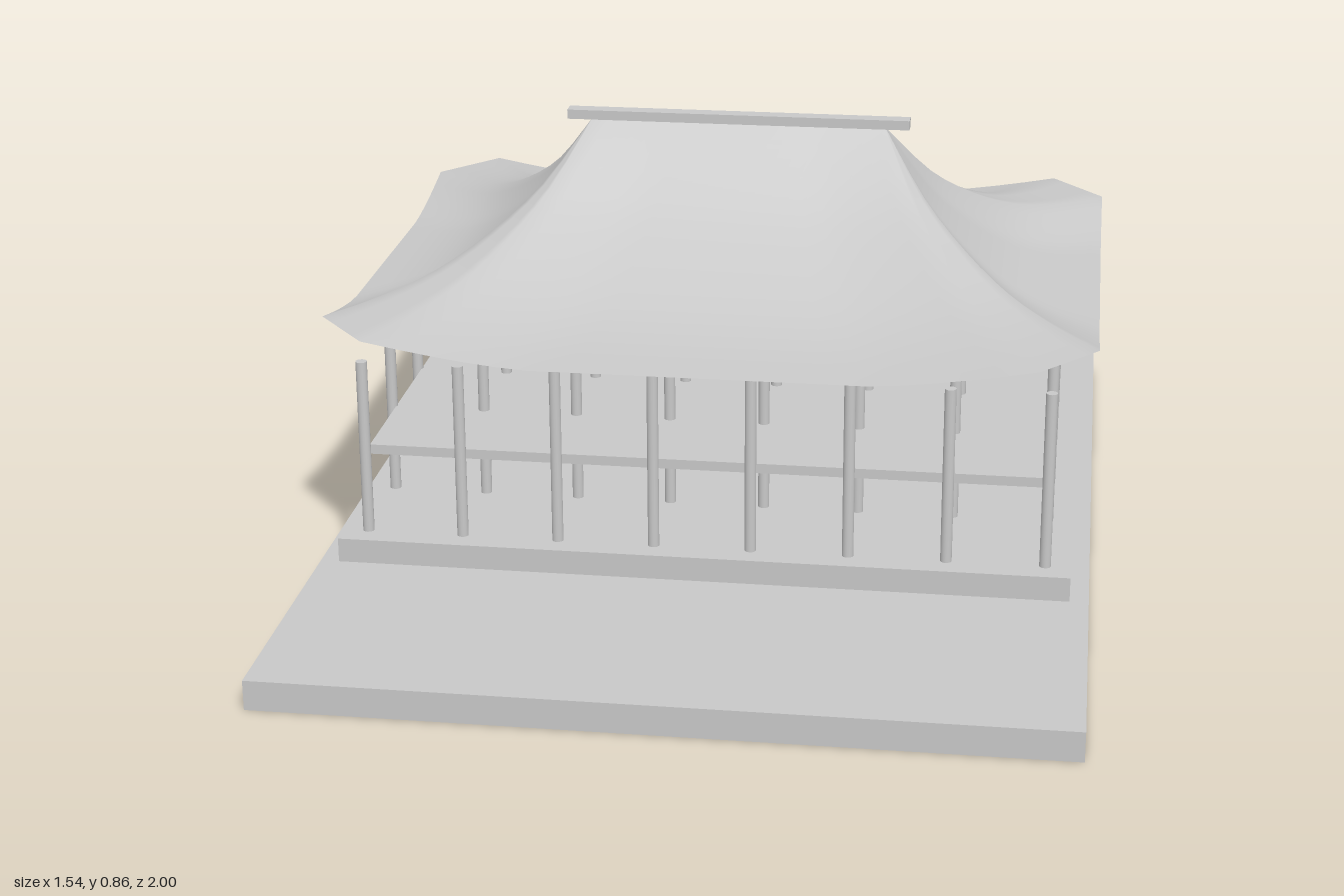
import * as THREE from 'three';

const CZ = -0.16; // the hall stands behind the middle of its terrace

export function createModel() {
  const group = new THREE.Group();
  const grey = new THREE.MeshStandardMaterial({ color: 0xc8c8c8, side: THREE.DoubleSide });
  grey.name = 'plain grey';

  const add = (name, geometry, x, y, z) => {
    const mesh = new THREE.Mesh(geometry, grey);
    mesh.name = name;
    mesh.position.set(x, y, z);
    group.add(mesh);
  };
  const slab = (name, w, d, y0, y1, z = CZ) =>
    add(name, new THREE.BoxGeometry(w, y1 - y0, d), 0, (y0 + y1) / 2, z);

  // terrace, plinth, middle floor and ridge beam
  slab('terrace', 1.545, 2, 0, 0.06, 0);
  slab('plinth', 1.47, 1.235, 0.06, 0.11);
  slab('middleFloor', 1.35, 1.12, 0.275, 0.295);
  slab('ridgeBeam', 0.725, 0.034, 0.838, 0.858);

  // grid of round columns
  const column = new THREE.CylinderGeometry(0.0115, 0.0115, 0.365, 16);
  for (let i = 0; i < 8; i++) {
    for (let j = 0; j < 6; j++) {
      add('column', column, -0.684 + (i * 1.368) / 7, 0.2925, CZ - 0.565 + (j * 1.13) / 5);
    }
  }

  add('roof', roofGeometry(), 0, 0, CZ);
  return group;
}

// Curved hip roof: rings run from the ridge line out to an eave with cut, upturned corners
function roofGeometry() {
  const HX = 0.772, HZ = 0.655, FX = 0.66, SZ = 0.52, RIDGE = 0.31, TOP = 0.84;
  const corners = [[-FX, HZ], [FX, HZ], [HX, SZ], [HX, -SZ], [FX, -HZ], [-FX, -HZ], [-HX, -SZ], [-HX, SZ]];
  const lift = (s) => 0.505 + 0.045 * Math.pow(Math.max(0, (Math.abs(s) - 0.5) / 0.5), 1.4);

  // eave points, each with the ridge position it climbs to
  const eave = [];
  corners.forEach(([x0, z0], k) => {
    const [x1, z1] = corners[(k + 1) % 8];
    const cut = k % 2 === 1;
    const n = cut ? 4 : 20;
    for (let i = 0; i < n; i++) {
      const u = i / n;
      const x = x0 + (x1 - x0) * u, z = z0 + (z1 - z0) * u;
      eave.push({ x, z, y: cut ? 0.55 : lift(2 * u - 1), rx: RIDGE * Math.max(-1, Math.min(1, x / FX)) });
    }
  });

  // share of the drop reached on the way from ridge to eave
  const drop = new THREE.SplineCurve([
    [0, 0], [0.2, 0.42], [0.4, 0.69], [0.6, 0.87], [0.8, 0.96], [1, 1],
  ].map(([a, b]) => new THREE.Vector2(a, b)));

  const rings = 15, n = eave.length, pos = [], index = [];
  for (let r = 0; r <= rings; r++) {
    const { x: t, y: f } = drop.getPoint(r / rings);
    for (const e of eave) pos.push(e.rx + (e.x - e.rx) * t, TOP + (e.y - TOP) * f, e.z * t);
  }
  for (let r = 0; r < rings; r++) {
    for (let j = 0; j < n; j++) {
      const a = r * n + j, b = r * n + ((j + 1) % n), c = a + n, d = b + n;
      index.push(a, c, b, b, c, d);
    }
  }
  const geometry = new THREE.BufferGeometry();
  geometry.setAttribute('position', new THREE.Float32BufferAttribute(pos, 3));
  geometry.setIndex(index);
  geometry.computeVertexNormals();
  return geometry;
}
